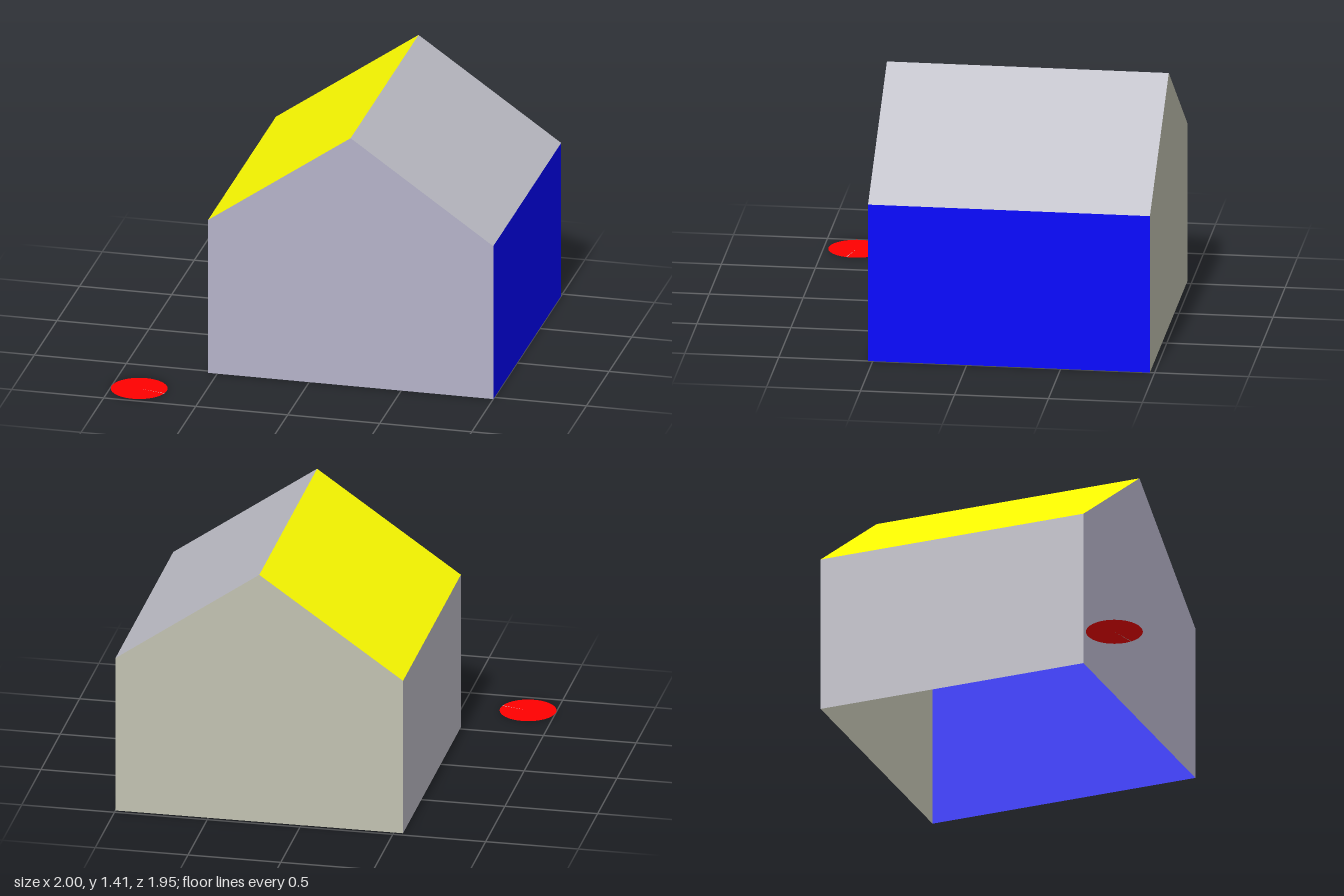
import * as THREE from 'three';

const X0 = -0.55, X1 = 1, RIDGE_X = 0.225, BACK = -0.975, FRONT = 0.525;
const EAVES = 0.87, RIDGE = 1.41;

function mesh(name, geometry, color) {
  const m = new THREE.Mesh(geometry, new THREE.MeshStandardMaterial({ color, side: THREE.DoubleSide }));
  m.name = name;
  return m;
}

// Flat rectangle swept from back to front above a line from (xa, ya) to (xb, yb)
function panel(name, color, xa, ya, xb, yb) {
  const g = new THREE.PlaneGeometry(FRONT - BACK, Math.hypot(xb - xa, yb - ya));
  g.rotateY(Math.PI / 2);
  g.rotateZ(Math.atan2(yb - ya, xb - xa) - Math.PI / 2);
  g.translate((xa + xb) / 2, (ya + yb) / 2, (FRONT + BACK) / 2);
  return mesh(name, g, color);
}

// Five-sided end wall; the back one is mirrored so it faces outwards
function gable(name, color, z, facing) {
  const half = (X1 - X0) / 2;
  const shape = new THREE.Shape([
    [-half, 0], [half, 0], [half, EAVES], [0, RIDGE], [-half, EAVES],
  ].map(([x, y]) => new THREE.Vector2(x, y)));
  const g = new THREE.ShapeGeometry(shape);
  if (facing < 0) g.rotateY(Math.PI);
  g.translate(RIDGE_X, 0, z);
  return mesh(name, g, color);
}

export function createModel() {
  const model = new THREE.Group();
  model.name = 'houseAndDisc';

  // House shell, open underneath
  const house = new THREE.Group();
  house.name = 'house';
  house.add(
    gable('frontWall', 0xb5b3c9, FRONT, 1),
    gable('backWall', 0xc2c2b1, BACK, -1),
    panel('leftWall', 0x0000ff, X1, 0, X1, EAVES),
    panel('rightWall', 0xc0bfc8, X0, EAVES, X0, 0),
    panel('leftRoof', 0xbcbcc5, X1, EAVES, RIDGE_X, RIDGE),
    panel('rightRoof', 0xffff00, RIDGE_X, RIDGE, X0, EAVES),
  );

  // Flat disc on the ground, with a thin pale radius line
  const disc = new THREE.Group();
  disc.name = 'groundDisc';
  const start = -Math.PI / 12, sliver = 0.03;
  disc.add(
    mesh('discFace', new THREE.CircleGeometry(0.15, 96, start + sliver, Math.PI * 2 - sliver), 0xff0000),
    mesh('radiusLine', new THREE.CircleGeometry(0.15, 1, start, sliver), 0xcccccc),
  );
  disc.rotation.x = -Math.PI / 2;
  disc.position.set(-0.85, 0, 0.825);

  model.add(house, disc);
  return model;
}
